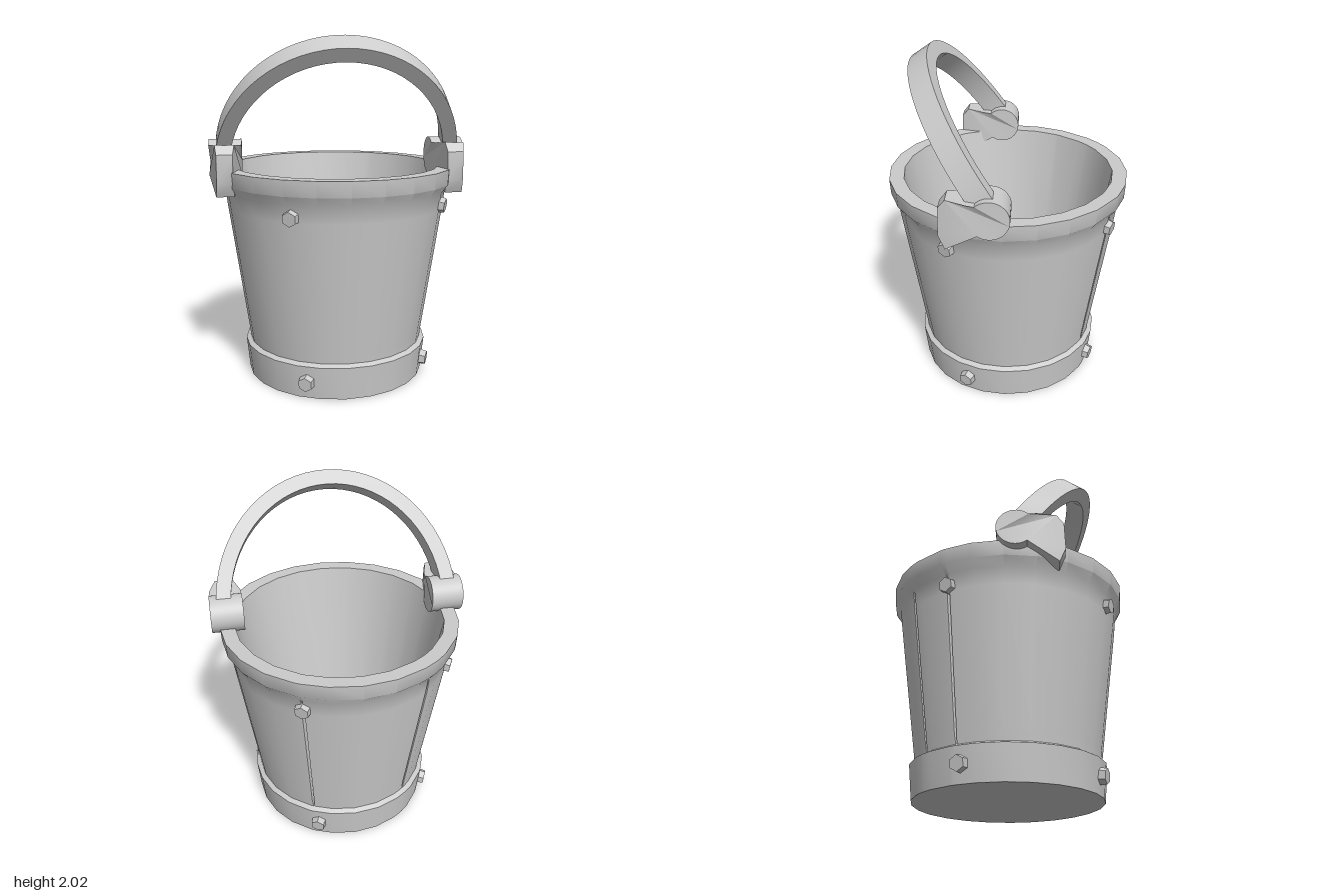
import * as THREE from 'three';
import { toCreasedNormals } from 'three/addons/utils/BufferGeometryUtils.js';

const rad = THREE.MathUtils.degToRad;
const grey = new THREE.MeshStandardMaterial({ color: 0xcccccc });

function addMesh(parent, name, geometry, crease = 35) {
  const mesh = new THREE.Mesh(toCreasedNormals(geometry, rad(crease)), grey);
  mesh.name = name;
  parent.add(mesh);
  return mesh;
}

// Lathed bucket with a base band, a thick rim and narrow splits between the staves
function bucketGeometry() {
  const profile = [
    [0, 0], [0.54, 0], [0.56, 0.195], [0.532, 0.21], [0.538, 0.26], [0.652, 1.04],
    [0.664, 1.14], [0.70, 1.19], [0.705, 1.28], [0.62, 1.28], [0.42, 0.1], [0, 0.1],
  ].map(([r, y]) => new THREE.Vector2(r, y));
  const cracks = [152, 218, 242];
  const angles = [];
  for (let a = 0; a <= 360; a += 15) angles.push(a);
  for (const c of cracks) angles.push(c - 0.7, c, c + 0.7);
  angles.sort((a, b) => a - b);

  const geometry = new THREE.LatheGeometry(profile, angles.length - 1);
  const pos = geometry.attributes.position;
  angles.forEach((angle, i) => profile.forEach((p, j) => {
    const inset = cracks.includes(angle) && (j === 4 || j === 5) ? 0.04 : 0;
    const r = p.x - inset;
    const a = rad(angle % 360);
    pos.setXYZ(i * profile.length + j, r * Math.sin(a), p.y, r * Math.cos(a));
  }));
  return geometry;
}

// Handle mount: round hub with a lug that narrows towards the front
function mountGeometry(side) {
  const outline = new THREE.Shape();
  outline.absarc(0.065, 1.335, 0.108, rad(48), rad(305), false);
  for (const [z, y] of [[0.30, 1.14], [0.335, 1.22], [0.33, 1.38], [0.29, 1.43], [0.18, 1.42]]) {
    outline.lineTo(z, y);
  }
  const geometry = new THREE.ExtrudeGeometry(outline, { depth: 0.2, bevelEnabled: false, curveSegments: 14 });
  geometry.translate(0, 0, -0.1);
  geometry.rotateY(-Math.PI / 2);
  const pos = geometry.attributes.position;
  for (let i = 0; i < pos.count; i++) {
    const taper = THREE.MathUtils.smoothstep(pos.getZ(i), 0.15, 0.34);
    const outer = side * pos.getX(i) > 0;
    pos.setX(i, side * (outer ? 0.75 - 0.05 * taper : 0.56 + 0.05 * taper));
  }
  return geometry;
}

// Flat band bent over half an ellipse
function handleGeometry() {
  const band = new THREE.Shape();
  band.absellipse(0, 0, 0.715, 0.79, 0, Math.PI, false);
  band.absellipse(0, 0, 0.63, 0.705, Math.PI, 0, true);
  const geometry = new THREE.ExtrudeGeometry(band, { depth: 0.13, bevelEnabled: false, curveSegments: 18 });
  return geometry.translate(0, 0, -0.065);
}

export function createModel() {
  const model = new THREE.Group();
  model.name = 'bucket';

  addMesh(model, 'bucketBody', bucketGeometry());

  for (const side of [1, -1]) {
    addMesh(model, side > 0 ? 'leftHandleMount' : 'rightHandleMount', mountGeometry(side), 30);
  }

  const handle = addMesh(model, 'handle', handleGeometry());
  handle.position.set(0, 1.33, 0.05);
  handle.rotation.x = rad(34);

  // Two rows of four hexagonal bolts
  const rows = [
    { name: 'upperBolt', y: 1.07, radius: 0.655, start: -28, lean: 8 },
    { name: 'lowerBolt', y: 0.1, radius: 0.555, start: -24, lean: 6 },
  ];
  for (const { name, y, radius, start, lean } of rows) {
    for (let k = 0; k < 4; k++) {
      const a = rad(start + 90 * k);
      const bolt = addMesh(model, name, new THREE.CylinderGeometry(0.043, 0.05, 0.06, 6));
      bolt.position.set(radius * Math.sin(a), y, radius * Math.cos(a));
      bolt.rotation.set(rad(90 + lean), a, 0, 'YXZ');
    }
  }
  return model;
}
